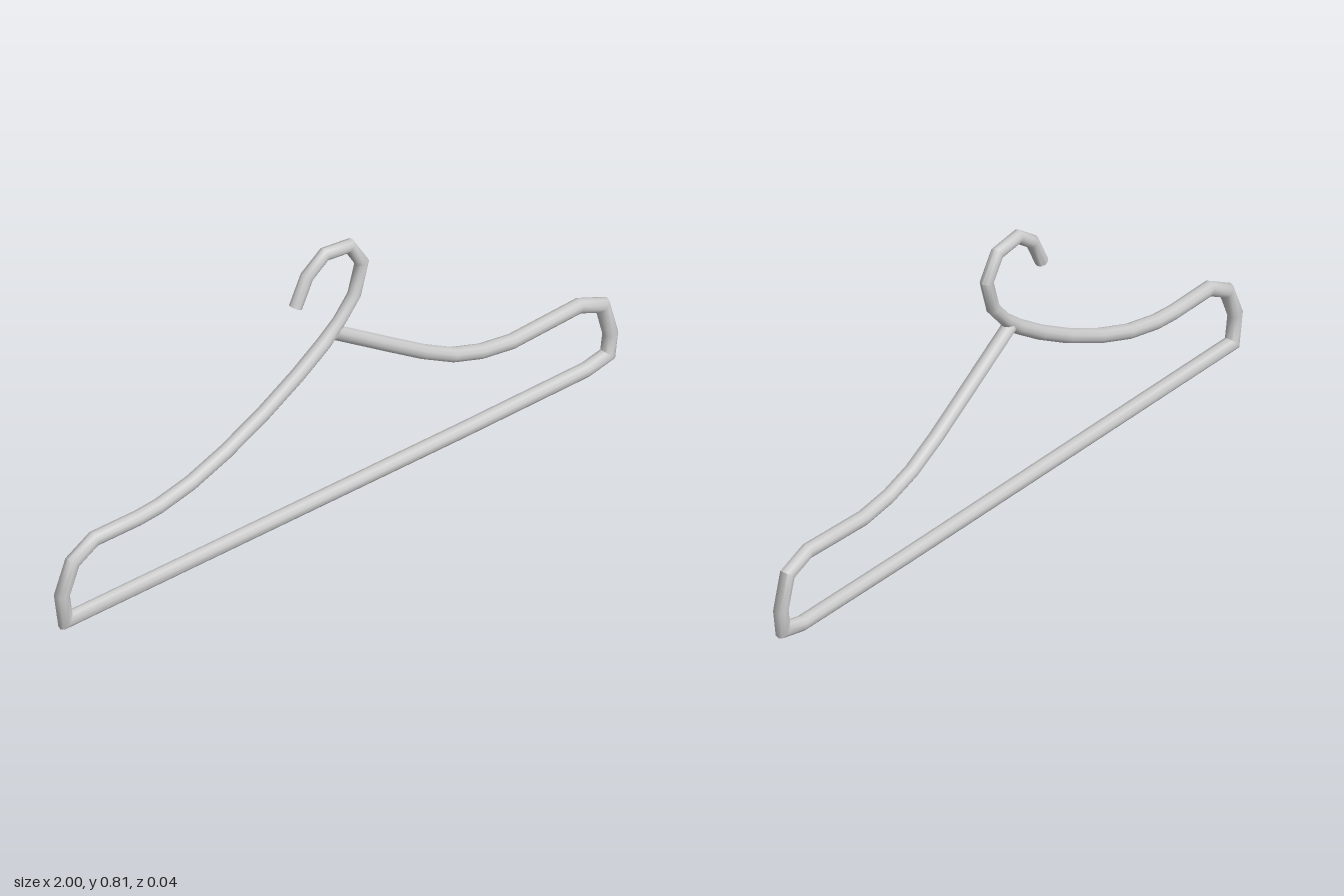
import * as THREE from 'three';
import { toCreasedNormals } from 'three/addons/utils/BufferGeometryUtils.js';

const SIDES = 10;

// Sweeps a round rod along a flat path of [x, y] points, with mitred bends and closed ends.
function sweepRod(path, radiusAt) {
  const pts = path.map(([x, y]) => new THREE.Vector2(x, y));
  const last = pts.length - 1;
  const dir = (i) => pts[i + 1].clone().sub(pts[i]).normalize();
  const positions = [];
  const index = [];
  pts.forEach((p, i) => {
    const before = dir(Math.max(i - 1, 0));
    const after = dir(Math.min(i, last - 1));
    const t = before.clone().add(after).normalize();
    const r = radiusAt(i);
    const mitre = r / t.dot(after);
    for (let j = 0; j < SIDES; j++) {
      const a = (j / SIDES) * Math.PI * 2;
      const c = Math.cos(a) * mitre;
      positions.push(p.x - t.y * c, p.y + t.x * c, Math.sin(a) * r);
    }
  });
  for (let i = 0; i < last; i++) {
    for (let j = 0; j < SIDES; j++) {
      const a = i * SIDES + j;
      const b = i * SIDES + ((j + 1) % SIDES);
      index.push(a, b, b + SIDES, a, b + SIDES, a + SIDES);
    }
  }
  // flat end caps
  const end = last * SIDES;
  for (let j = 1; j < SIDES - 1; j++) {
    index.push(0, j + 1, j, end, end + j, end + j + 1);
  }
  const geometry = new THREE.BufferGeometry();
  geometry.setAttribute('position', new THREE.Float32BufferAttribute(positions, 3));
  geometry.setIndex(index);
  return toCreasedNormals(geometry, THREE.MathUtils.degToRad(50));
}

export function createModel() {
  const group = new THREE.Group();
  group.name = 'clothesHanger';
  const material = new THREE.MeshStandardMaterial({ color: 0xcccccc });

  // hook, from its open tip down to the neck
  const hook = [
    [-0.145, 0.67], [-0.105, 0.75], [-0.042, 0.795], [0.046, 0.785],
    [0.091, 0.715], [0.064, 0.622], [0.01, 0.56],
  ];
  // shoulder on the -x side, down to its rounded end
  const rightShoulder = [
    [-0.045, 0.513], [-0.14, 0.45], [-0.26, 0.382], [-0.395, 0.318], [-0.52, 0.272],
    [-0.635, 0.247], [-0.71, 0.241], [-0.865, 0.242], [-0.942, 0.2], [-0.979, 0.11],
  ];
  // trouser bar
  const bar = [[-0.966, 0.025], [0, 0.025], [0.45, 0.025], [0.89, 0.029], [0.969, 0.046]];
  // shoulder on the +x side, back up to the neck
  const leftShoulder = [
    [0.978, 0.11], [0.95, 0.21], [0.865, 0.243], [0.755, 0.238], [0.625, 0.232],
    [0.515, 0.248], [0.415, 0.28], [0.31, 0.335], [0.195, 0.406], [-0.008, 0.533],
  ];

  // one continuous rod, slightly thinner at the hook
  const path = [...hook, ...rightShoulder, ...bar, ...leftShoulder];
  const radiusAt = (i) => (i < hook.length ? 0.0188 : 0.0213);
  const rod = new THREE.Mesh(sweepRod(path, radiusAt), material);
  rod.name = 'hangerRod';
  group.add(rod);

  // stand on the ground, centred
  const box = new THREE.Box3().setFromObject(rod);
  rod.position.set(-(box.min.x + box.max.x) / 2, -box.min.y, 0);
  return group;
}
